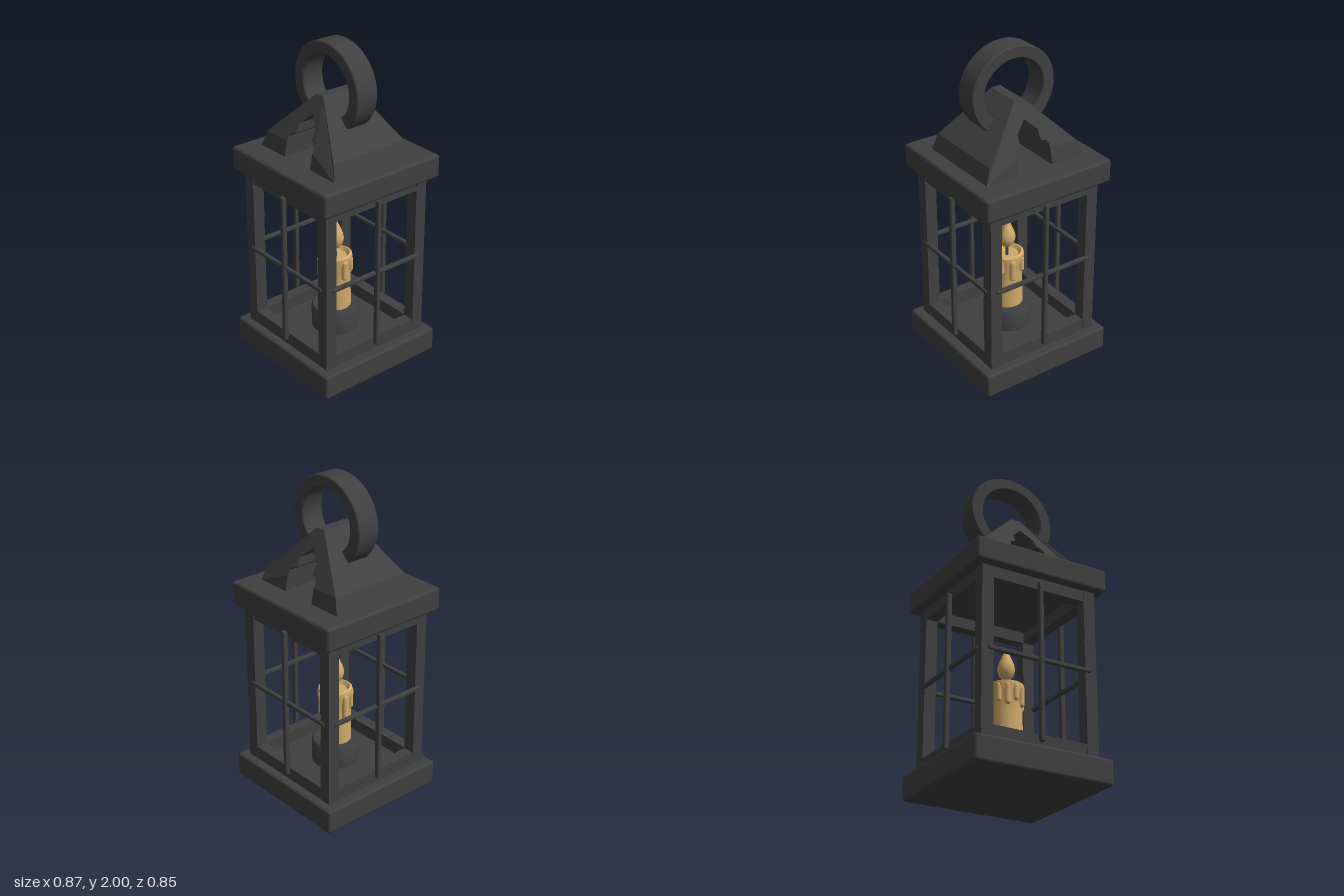
import * as THREE from 'three';
import { RoundedBoxGeometry } from 'three/addons/geometries/RoundedBoxGeometry.js';
import { toCreasedNormals } from 'three/addons/utils/BufferGeometryUtils.js';

export function createModel() {
  const lantern = new THREE.Group();
  lantern.name = 'lantern';
  const iron = new THREE.MeshStandardMaterial({ color: 0x404040 });
  iron.name = 'dark iron';
  const wax = new THREE.MeshStandardMaterial({ color: 0xd0aa6a });
  wax.name = 'candle wax';

  const add = (name, geometry, material, x = 0, y = 0, z = 0, parent = lantern) => {
    const mesh = new THREE.Mesh(geometry, material);
    mesh.name = name;
    mesh.position.set(x, y, z);
    parent.add(mesh);
    return mesh;
  };
  const block = (w, h, d, r) => new RoundedBoxGeometry(w, h, d, 2, r);
  const lathe = (points, sides) =>
    toCreasedNormals(new THREE.LatheGeometry(points.map(p => new THREE.Vector2(...p)), sides), 0.8);

  // Base slab and lid slab
  add('base', block(0.874, 0.155, 0.854, 0.018), iron, 0, 0.0775, 0);
  add('lid', block(0.86, 0.145, 0.854, 0.018), iron, 0, 1.2525, 0);

  // Corner posts
  for (const x of [-1, 1]) for (const z of [-1, 1])
    add('cornerPost', new THREE.BoxGeometry(0.075, 1.05, 0.075), iron, x * 0.3375, 0.665, z * 0.3375);

  // Four window sides: rails above and below, crossed bars outside
  for (let i = 0; i < 4; i++) {
    const side = new THREE.Group();
    side.name = 'windowSide';
    side.rotation.y = i * Math.PI / 2;
    lantern.add(side);
    add('bottomRail', new THREE.BoxGeometry(0.61, 0.09, 0.07), iron, 0, 0.19, 0.3375, side);
    add('topRail', new THREE.BoxGeometry(0.61, 0.08, 0.07), iron, 0, 1.15, 0.3375, side);
    add('uprightBar', block(0.028, 0.96, 0.032, 0.008), iron, 0, 0.67, 0.384, side);
    add('crossBar', block(0.67, 0.026, 0.026, 0.008), iron, 0, 0.677, 0.372, side);
  }

  // Roof: gable with a stepped arch, its ends leaning inward with height
  const half = [[0.115, 1.32], [0.115, 1.42], [0.115, 1.445], [0.1, 1.465],
    [0.07, 1.475], [0.07, 1.53]];
  const outer = [[0.335, 1.32], [0.3, 1.42], [0.03, 1.695]];
  const mirror = list => list.map(([x, y]) => [-x, y]);
  const outline = [...outer, ...mirror(outer).reverse(), ...mirror(half), [0, 1.595], ...half.slice().reverse()];
  const roof = new THREE.ExtrudeGeometry(
    new THREE.Shape(outline.map(p => new THREE.Vector2(...p))), { depth: 1, bevelEnabled: false });
  const lean = y => y < 1.42 ? 0.28 - (y - 1.32) * 0.2 : 0.26 - (y - 1.42) * 0.545;
  const pos = roof.attributes.position;
  for (let i = 0; i < pos.count; i++)
    pos.setZ(i, (pos.getZ(i) * 2 - 1) * lean(pos.getY(i)));
  roof.computeVertexNormals();
  add('roof', roof, iron);

  // Broad carrying ring, its open ends sunk into the roof slopes
  const start = -0.82, end = Math.PI - start;
  const ringShape = new THREE.Shape();
  ringShape.absellipse(0, 0, 0.274, 0.259, start, end, false, 0);
  ringShape.absellipse(0, 0, 0.207, 0.197, end, start, true, 0);
  ringShape.closePath();
  const ring = new THREE.ExtrudeGeometry(ringShape, {
    depth: 0.13, curveSegments: 32, bevelThickness: 0.008, bevelSize: 0.006, bevelSegments: 1
  });
  ring.translate(0, 0, -0.065);
  add('carryingRing', toCreasedNormals(ring, 0.5), iron, 0, 1.734, 0);

  // Candle dish
  add('candleDish', lathe([[0, 0.15], [0.145, 0.15], [0.145, 0.29], [0.137, 0.3], [0, 0.3]], 28), iron);

  // Candle with a swollen rim and a hollow top
  add('candle', lathe([[0.097, 0.29], [0.094, 0.45], [0.093, 0.58], [0.104, 0.625], [0.102, 0.648],
    [0.086, 0.655], [0.07, 0.632], [0, 0.622]], 24), wax);

  // Wax drips: angle, lower end, thickness
  const drips = [[0.1, 0.53, 0.017], [0.65, 0.5, 0.019], [1.5, 0.5, 0.02], [2.2, 0.54, 0.016],
    [2.9, 0.49, 0.02], [3.7, 0.53, 0.018], [4.65, 0.47, 0.02], [5.3, 0.52, 0.016], [5.85, 0.5, 0.018]];
  for (const [angle, low, r] of drips) {
    const length = 0.635 - low;
    add('waxDrip', new THREE.CapsuleGeometry(r, length - 2 * r, 4, 10), wax,
      Math.sin(angle) * 0.094, low + length / 2, Math.cos(angle) * 0.094);
  }

  // Wick and flame
  add('wick', new THREE.CylinderGeometry(0.008, 0.01, 0.1, 8), iron, 0, 0.66, 0);
  add('flame', lathe([[0, 0.682], [0.025, 0.69], [0.045, 0.715], [0.053, 0.75], [0.046, 0.785],
    [0.029, 0.825], [0.013, 0.86], [0, 0.885]], 18), wax);

  return lantern;
}
